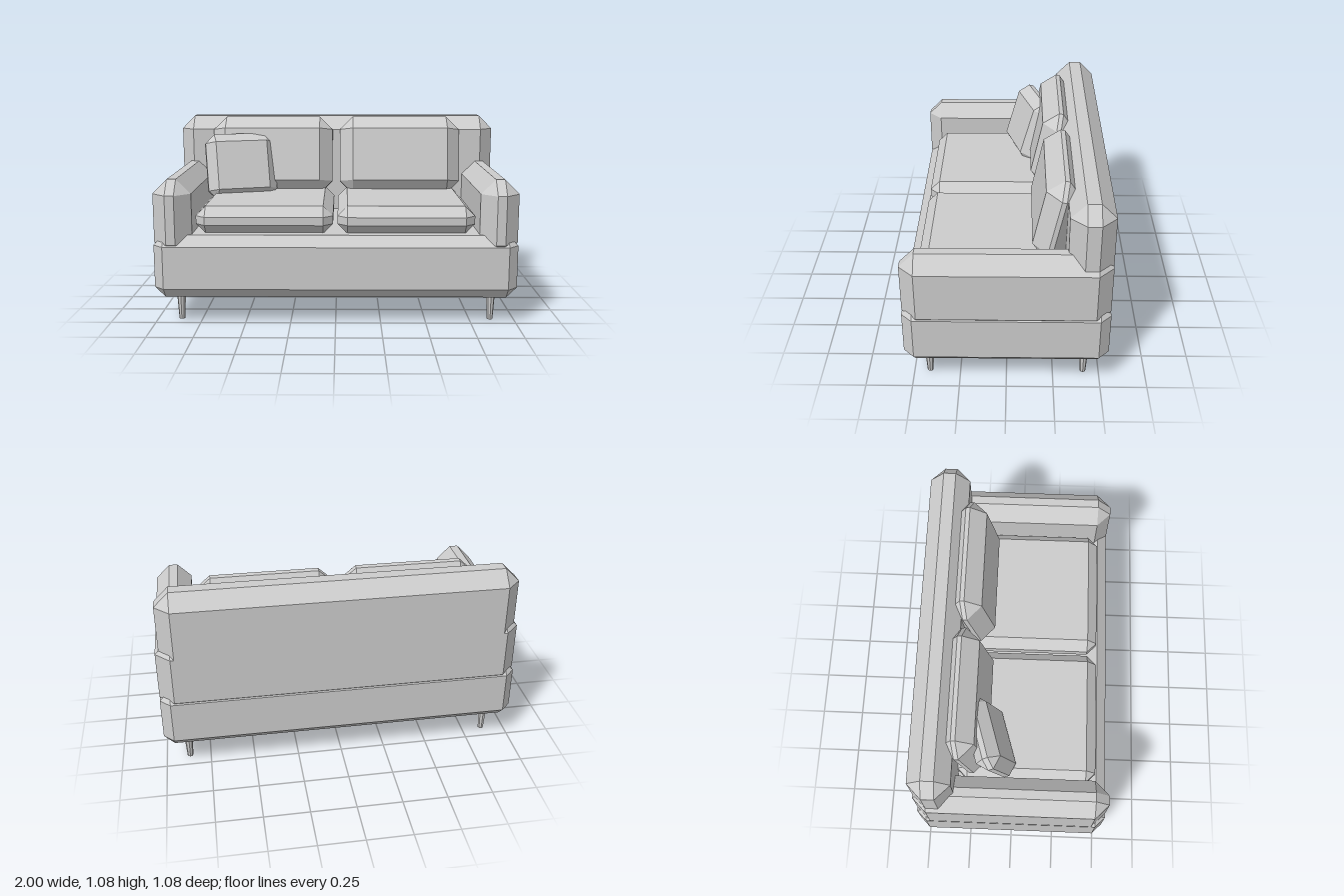
import * as THREE from 'three';
import { ConvexGeometry } from 'three/addons/geometries/ConvexGeometry.js';

// Box with every edge and corner cut by an equal chamfer
function chamferBox(w, h, d, b) {
  const x = w / 2, y = h / 2, z = d / 2, pts = [];
  for (const sx of [-1, 1]) for (const sy of [-1, 1]) for (const sz of [-1, 1]) {
    pts.push(
      new THREE.Vector3(sx * x, sy * (y - b), sz * (z - b)),
      new THREE.Vector3(sx * (x - b), sy * y, sz * (z - b)),
      new THREE.Vector3(sx * (x - b), sy * (y - b), sz * z)
    );
  }
  return new ConvexGeometry(pts);
}

export function createModel() {
  const sofa = new THREE.Group();
  sofa.name = 'sofa';
  const grey = new THREE.MeshStandardMaterial({ color: 0xcccccc, flatShading: true });
  grey.name = 'light grey';

  function add(name, geometry, x, y, z) {
    const mesh = new THREE.Mesh(geometry, grey);
    mesh.name = name;
    mesh.position.set(x, y, z);
    sofa.add(mesh);
    return mesh;
  }

  // Frame
  add('base', chamferBox(2, 0.35, 1.08, 0.057), 0, 0.32, 0);
  add('backrest', chamferBox(1.96, 0.71, 0.23, 0.08), 0, 0.725, -0.425);

  const arm = chamferBox(0.21, 0.43, 1.08, 0.08);
  const seat = chamferBox(0.76, 0.155, 0.78, 0.055);
  const back = chamferBox(0.74, 0.48, 0.185, 0.08);
  const leg = new THREE.CylinderGeometry(0.025, 0.016, 0.145, 8);

  // Paired parts
  for (const s of [-1, 1]) {
    const side = s > 0 ? 'left' : 'right';
    add(side + 'Arm', arm, s * 0.895, 0.585, 0);
    add(side + 'SeatCushion', seat, s * 0.3925 - 0.0025, 0.5675, 0.08);
    const cushion = add(side + 'BackCushion', back, s * 0.3925 - 0.0025, 0.843, -0.257);
    cushion.rotation.x = THREE.MathUtils.degToRad(-12);
    add(side + 'FrontLeg', leg, s * 0.868, 0.0725, 0.415);
    add(side + 'BackLeg', leg, s * 0.868, 0.0725, -0.415);
  }

  // Loose pillow leaning against the right back cushion
  const pillow = add('throwPillow', chamferBox(0.42, 0.4, 0.14, 0.055), -0.582, 0.79, -0.13);
  pillow.rotation.set(THREE.MathUtils.degToRad(-17), THREE.MathUtils.degToRad(17), 0, 'YXZ');

  return sofa;
}
